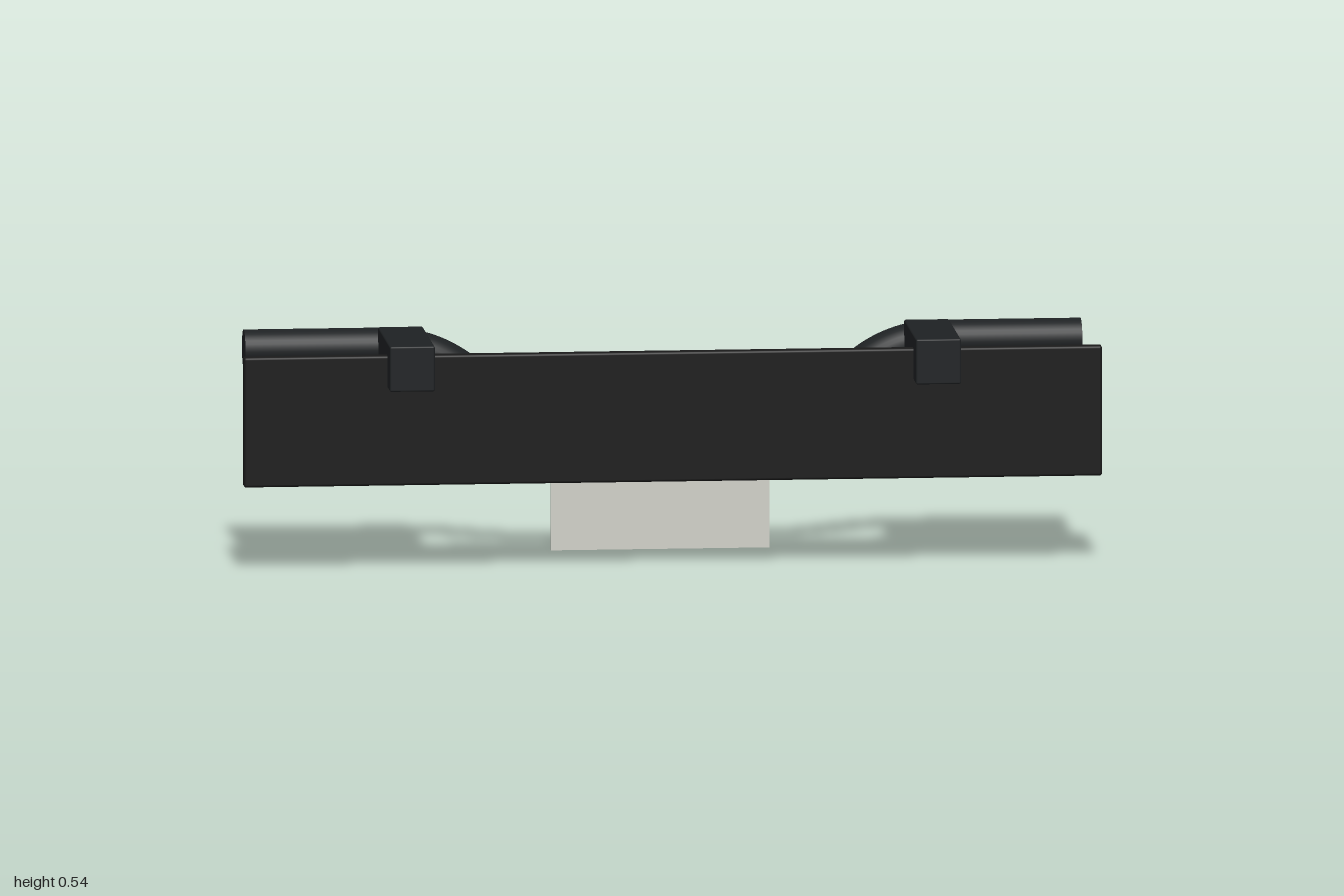
import * as THREE from 'three';
import { RoundedBoxGeometry } from 'three/addons/geometries/RoundedBoxGeometry.js';

const mat = (color) => new THREE.MeshStandardMaterial({ color });
const panelMat = mat(0x191919);
const metalMat = mat(0x1e2123);
const amberMat = mat(0xd08420);
const redMat = mat(0xb01e22);
const clearMat = mat(0xc4c9d0);
const plateMat = mat(0xd0d0c8);

function add(parent, name, geometry, material, x = 0, y = 0, z = 0) {
  const mesh = new THREE.Mesh(geometry, material);
  mesh.name = name;
  mesh.position.set(x, y, z);
  parent.add(mesh);
  return mesh;
}

// Rectangular ring, extruded along +z from z = 0
function ringGeometry(w, h, border, depth) {
  const rect = (target, a, b) => {
    target.moveTo(-a, -b);
    target.lineTo(a, -b);
    target.lineTo(a, b);
    target.lineTo(-a, b);
    target.closePath();
    return target;
  };
  const shape = rect(new THREE.Shape(), w / 2, h / 2);
  shape.holes.push(rect(new THREE.Path(), w / 2 - border, h / 2 - border));
  return new THREE.ExtrudeGeometry(shape, { depth, bevelEnabled: false });
}

// Straight runs joined by rounded corners
function roundedPath(points, cut) {
  const path = new THREE.CurvePath();
  let last = points[0];
  for (let i = 1; i < points.length - 1; i++) {
    const p = points[i];
    const toward = (q) => p.clone().add(q.clone().sub(p).setLength(cut));
    const a = toward(points[i - 1]);
    const b = toward(points[i + 1]);
    path.add(new THREE.LineCurve3(last, a));
    path.add(new THREE.QuadraticBezierCurve3(a, p, b));
    last = b;
  }
  path.add(new THREE.LineCurve3(last, points[points.length - 1]));
  return path;
}

// Lamp housing open to the rear, with three recessed lenses
function createLamp(side) {
  const lamp = new THREE.Group();
  lamp.name = side > 0 ? 'leftLamp' : 'rightLamp';
  const w = 0.432, h = 0.168, border = 0.013, recess = 0.05;
  const back = -0.187, front = -0.003;
  const bodyDepth = front - back - recess;
  add(lamp, 'lampHousing', new THREE.BoxGeometry(w, h, bodyDepth), metalMat, 0, 0, front - bodyDepth / 2);
  add(lamp, 'lampRim', ringGeometry(w, h, border, recess), metalMat, 0, 0, back);
  const lenses = [
    ['reverseLens', clearMat, 0.123],
    ['brakeLens', redMat, 0.16],
    ['turnLens', amberMat, 0.123],
  ];
  let x = -0.203;
  for (const [name, material, width] of lenses) {
    const g = new THREE.BoxGeometry(width, h - 2 * border, 0.006);
    add(lamp, name, g, material, side * (x + width / 2), 0, back + recess - 0.003);
    x += width;
  }
  lamp.position.set(side * 0.756, 0.359, 0);
  return lamp;
}

export function createModel() {
  const model = new THREE.Group();
  model.name = 'rearBumper';

  // Wide flat panel
  add(model, 'panel', new RoundedBoxGeometry(2, 0.305, 0.03, 3, 0.006), panelMat, 0, 0.36, 0.121);

  // Bent tube with a lowered centre
  const tubeZ = -0.14, radius = 0.046;
  const half = [[0.975, 0.49], [0.545, 0.49], [0.315, 0.314]];
  const points = [
    ...half.map(([x, y]) => new THREE.Vector3(-x, y, tubeZ)),
    ...half.reverse().map(([x, y]) => new THREE.Vector3(x, y, tubeZ)),
  ];
  const tube = new THREE.TubeGeometry(roundedPath(points, 0.095), 160, radius, 32, false);
  add(model, 'bumperTube', tube, metalMat);

  for (const side of [1, -1]) {
    const cap = add(model, 'tubeCap', new THREE.CircleGeometry(radius, 32), metalMat, side * 0.975, 0.49, tubeZ);
    cap.rotation.y = side * Math.PI / 2;

    add(model, 'bracket', new RoundedBoxGeometry(0.105, 0.106, 0.305, 2, 0.004), metalMat,
      side * 0.613, 0.49, 0.0445);
    model.add(createLamp(side));

    // Hangers from the tube to the plate
    add(model, 'plateHanger', new THREE.BoxGeometry(0.036, 0.122, 0.019), metalMat, side * 0.17, 0.244, -0.1785);

    const screw = add(model, 'plateScrew', new THREE.CylinderGeometry(0.01, 0.01, 0.006, 16), metalMat,
      side * 0.185, 0.221, -0.194);
    screw.rotation.x = Math.PI / 2;
    const head = add(model, 'screwHead', new THREE.CylinderGeometry(0.007, 0.007, 0.002, 16), plateMat,
      side * 0.185, 0.221, -0.197);
    head.rotation.x = Math.PI / 2;
  }

  // Plate and its dark rear border
  add(model, 'plate', new THREE.BoxGeometry(0.51, 0.255, 0.005), plateMat, 0, 0.1275, -0.1905);
  add(model, 'plateFrame', ringGeometry(0.506, 0.25, 0.012, 0.003), metalMat, 0, 0.1275, -0.1955);

  return model;
}
